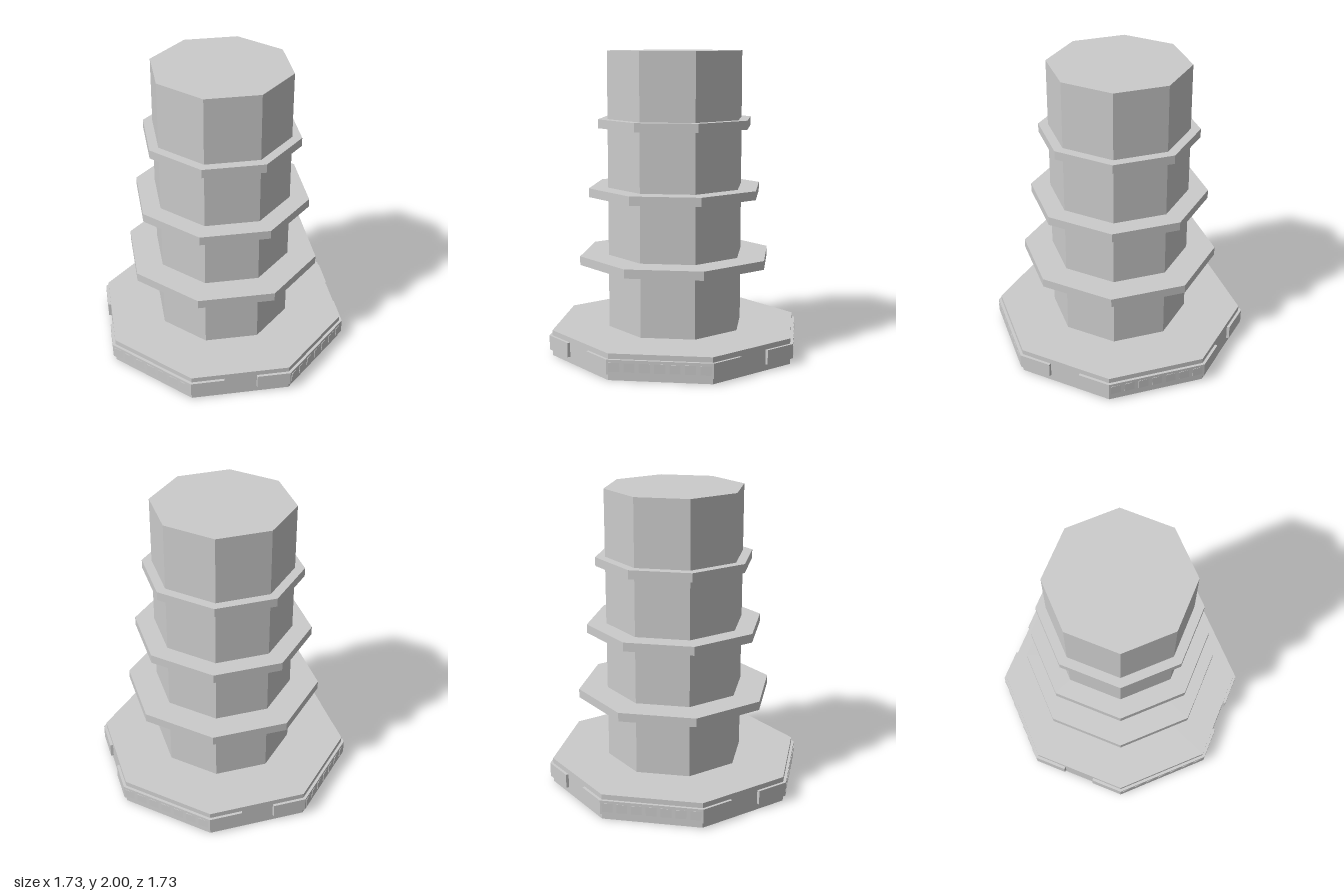
import * as THREE from 'three';

const material = new THREE.MeshStandardMaterial({ color: 0xcccccc, flatShading: true });

// Octagonal slab with corners on the x and z axes
function octagon(name, radius, bottom, top) {
  const geometry = new THREE.CylinderGeometry(radius, radius, top - bottom, 8);
  const mesh = new THREE.Mesh(geometry, material);
  mesh.name = name;
  mesh.position.y = (bottom + top) / 2;
  return mesh;
}

// Raised band: one full face of the base plus a third of each neighbour
function bandGeometry(radius, height) {
  const corner = (i) => {
    const a = (i * Math.PI) / 4;
    return new THREE.Vector2(Math.sin(a) * radius, -Math.cos(a) * radius);
  };
  const [before, a, b, after] = [-2, -1, 0, 1].map(corner);
  const outer = [a.clone().lerp(before, 1 / 3), a, b, b.clone().lerp(after, 1 / 3)];
  const inner = outer.map((p) => p.clone().multiplyScalar(0.96)).reverse();
  const geometry = new THREE.ExtrudeGeometry(new THREE.Shape([...outer, ...inner]), {
    depth: height,
    bevelEnabled: false,
  });
  return geometry.rotateX(-Math.PI / 2);
}

export function createModel() {
  const model = new THREE.Group();
  model.name = 'octagonalTower';

  // Base, column and the three shrinking ledges
  model.add(octagon('base', 0.846, 0, 0.17));
  model.add(octagon('column', 0.461, 0.17, 2));
  [[0.654, 0.6], [0.59, 1.05], [0.525, 1.5]].forEach(([radius, y], i) => {
    model.add(octagon(`ledge${i + 1}`, radius, y, y + 0.058));
  });

  // Four windowed bands, a quarter turn apart
  const bandRadius = 0.866;
  const apothem = bandRadius * Math.cos(Math.PI / 8);
  const band = bandGeometry(bandRadius, 0.095);
  const pane = new THREE.BoxGeometry(0.07, 0.058, 0.02);
  for (let q = 0; q < 4; q++) {
    const side = new THREE.Group();
    side.name = `windowedSide${q + 1}`;
    side.rotation.y = (q * Math.PI) / 2;

    const strip = new THREE.Mesh(band, material);
    strip.name = 'band';
    strip.position.y = 0.041;
    side.add(strip);

    // Row of seven slightly turned panes
    const row = new THREE.Group();
    row.name = 'windowRow';
    row.rotation.y = -Math.PI / 8;
    for (let i = -3; i <= 3; i++) {
      const mesh = new THREE.Mesh(pane, material);
      mesh.name = 'window';
      mesh.position.set(i * 0.0945, 0.0885, apothem - 0.008);
      mesh.rotation.y = 0.06;
      row.add(mesh);
    }
    side.add(row);
    model.add(side);
  }
  return model;
}
